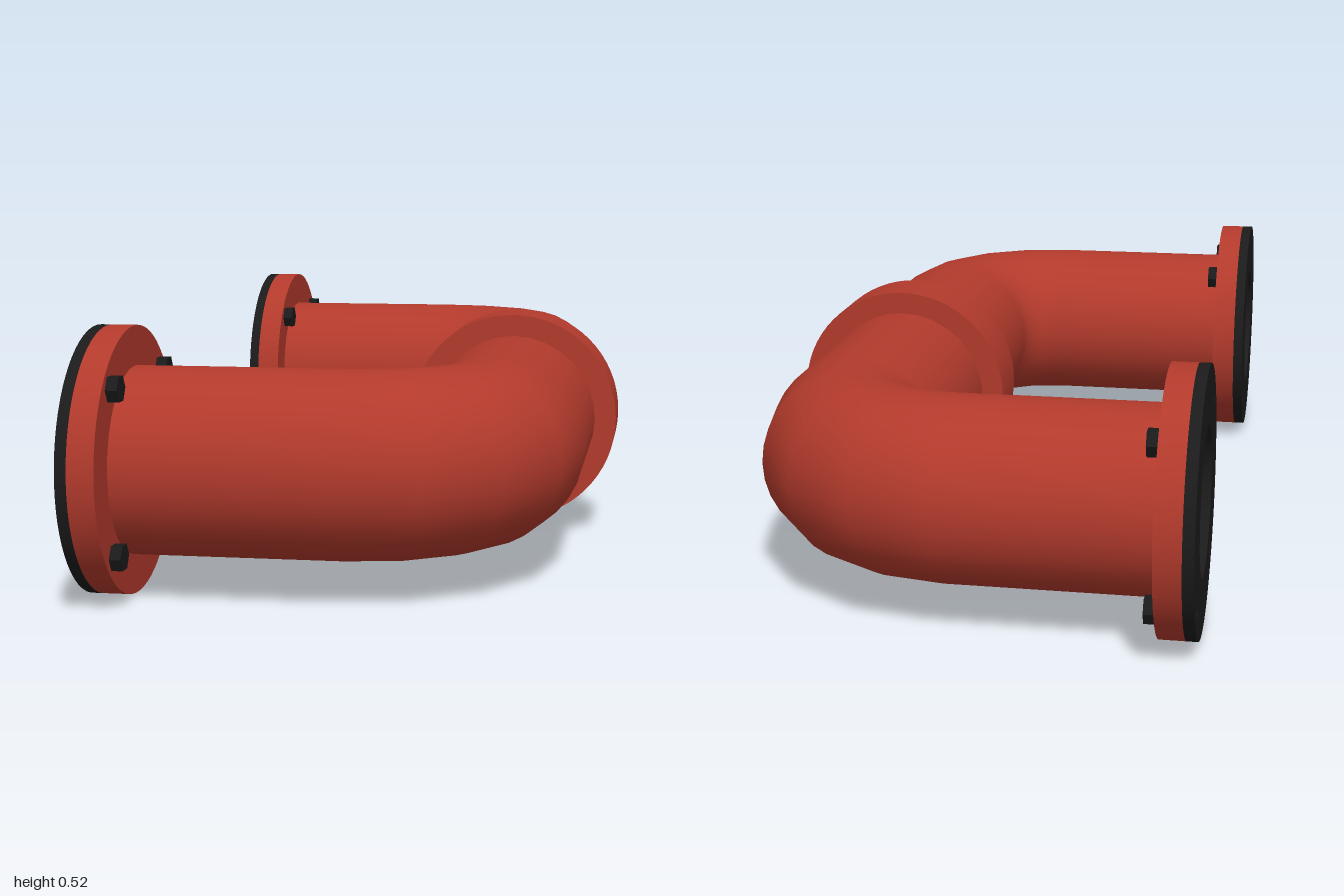
import * as THREE from 'three';
import { toCreasedNormals } from 'three/addons/utils/BufferGeometryUtils.js';

const SIDES = 32;
const AXIS_Y = 0.26;      // height of the pipe's centre line
const PIPE_R = 0.183;
const BORE_R = 0.143;
const BEND_R = 0.253;     // centre-line radius of the elbows
const BEND_Z = 0.487;     // z of the elbow pivots
const LEG_Z = BEND_Z + BEND_R;
const BACK_X = -0.487;    // outer face of the gaskets
const SEAT_X = -0.465;    // gasket meets flange
const FACE_X = -0.413;    // bolt side of the flange

const red = new THREE.MeshStandardMaterial({ color: 0xb23a2c });
const redInside = new THREE.MeshStandardMaterial({ color: 0xb23a2c, side: THREE.BackSide });
const black = new THREE.MeshStandardMaterial({ color: 0x1b1b1b });

function add(parent, name, geometry, material, x = 0, y = 0, z = 0) {
  const mesh = new THREE.Mesh(geometry, material);
  mesh.name = name;
  mesh.position.set(x, y, z);
  parent.add(mesh);
  return mesh;
}

// Disc with a bore and optional small bolt holes, extruded along +x
function ring(outer, inner, depth, holes = []) {
  const shape = new THREE.Shape().absarc(0, 0, outer, 0, Math.PI * 2);
  const cut = (x, y, r) => shape.holes.push(new THREE.Path().absarc(x, y, r, 0, Math.PI * 2, true));
  cut(0, 0, inner);
  holes.forEach(([x, y, r]) => cut(x, y, r));
  const g = new THREE.ExtrudeGeometry(shape, { depth, bevelEnabled: false, curveSegments: SIDES });
  g.rotateY(Math.PI / 2);
  return toCreasedNormals(g, 0.6);
}

const tubeX = (r, len) => new THREE.CylinderGeometry(r, r, len, SIDES, 1, true).rotateZ(Math.PI / 2);
const tubeZ = (r, len) => new THREE.CylinderGeometry(r, r, len, SIDES, 1, true).rotateX(Math.PI / 2);

// Outer wall and bore of the whole pipe run
function pipe(name, r, material, startX) {
  const g = new THREE.Group();
  g.name = name;
  add(g, name + 'Middle', tubeZ(r, BEND_Z * 2), material, BEND_R, AXIS_Y, 0);
  for (const s of [1, -1]) {
    const elbow = new THREE.TorusGeometry(BEND_R, r, SIDES, 4, Math.PI / 2).rotateX(s * Math.PI / 2);
    add(g, name + 'Elbow', elbow, material, 0, AXIS_Y, s * BEND_Z);
    add(g, name + 'Leg', tubeX(r, -startX), material, startX / 2, AXIS_Y, s * LEG_Z);
  }
  return g;
}

// Flange, gasket and four hex bolts at one pipe end
function flangeEnd() {
  const g = new THREE.Group();
  g.name = 'flangeEnd';
  const o = 0.158;
  const spots = [[o, o], [-o, o], [-o, -o], [o, -o]];
  add(g, 'flange', ring(0.26, BORE_R, FACE_X - SEAT_X), red, SEAT_X);
  add(g, 'gasket', ring(0.26, BORE_R, SEAT_X - BACK_X, spots.map(([a, b]) => [a, b, 0.011])), black, BACK_X);
  for (const [z, y] of spots) {
    const head = new THREE.CylinderGeometry(0.027, 0.027, 0.022, 6).rotateZ(Math.PI / 2);
    add(g, 'bolt', toCreasedNormals(head, 0.5), black, FACE_X + 0.011, y, z);
  }
  return g;
}

export function createModel() {
  const model = new THREE.Group();
  model.name = 'pipeAssembly';
  model.add(pipe('pipe', PIPE_R, red, FACE_X));
  model.add(pipe('bore', BORE_R, redInside, SEAT_X));

  for (const s of [1, -1]) {
    const end = flangeEnd();
    end.position.set(0, AXIS_Y, s * LEG_Z);
    model.add(end);
  }

  // Coupling collar around the middle of the run
  const collar = new THREE.CylinderGeometry(0.23, 0.23, 0.145, SIDES).rotateX(Math.PI / 2);
  collar.deleteAttribute('uv');
  const collarRing = ring(0.23, PIPE_R - 0.005, 0.145).translate(-0.0725, 0, 0).rotateY(Math.PI / 2);
  collar.dispose();
  add(model, 'collar', collarRing, red, BEND_R, AXIS_Y, 0);

  return model;
}
